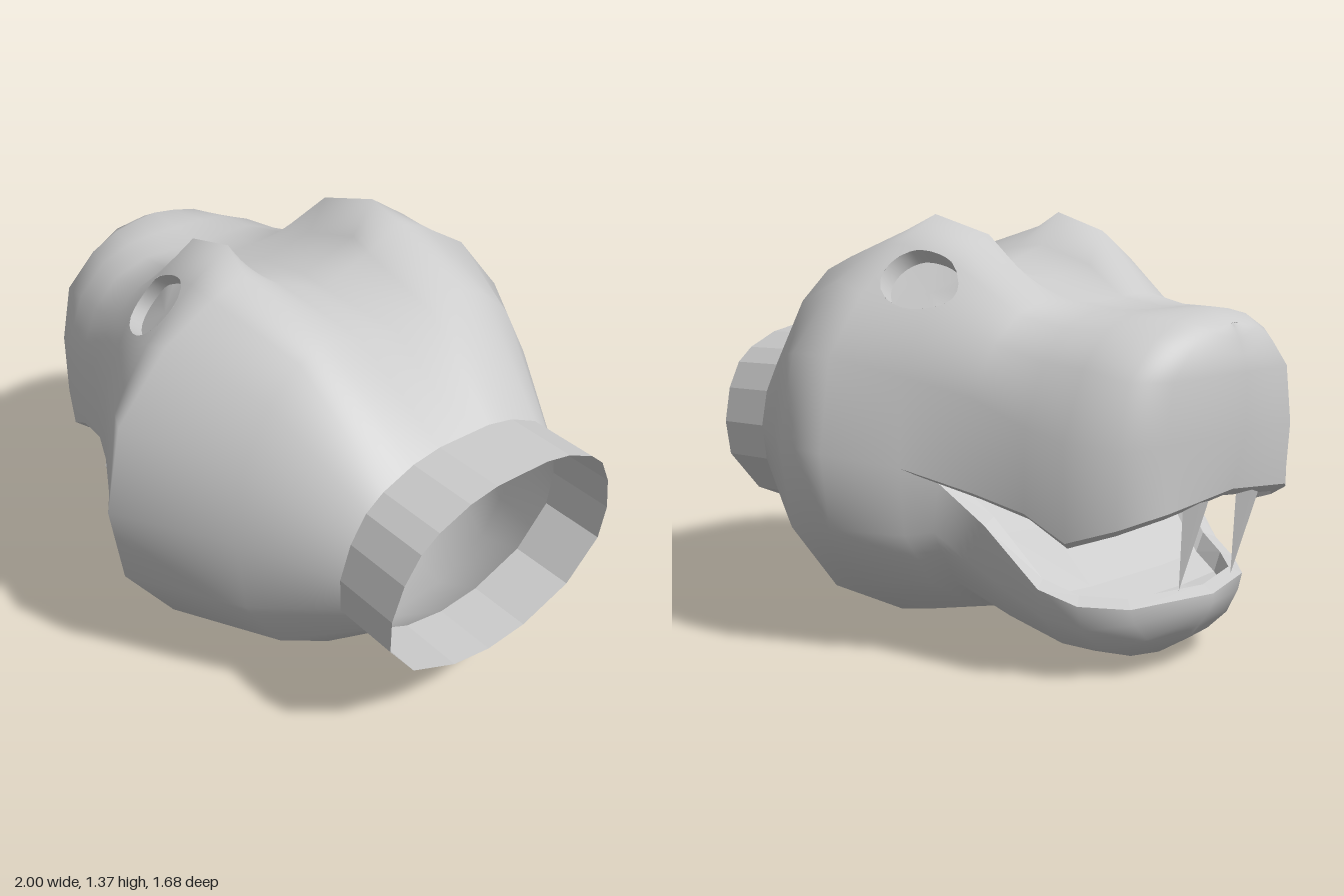
import * as THREE from 'three';
import { mergeVertices } from 'three/addons/utils/BufferGeometryUtils.js';

const STEP = 8; // subdivisions between neighbouring section points
const V = (x, y, z) => new THREE.Vector3(x, y, z);
const flip = p => V(p.x, p.y, -p.z);

// Half sections on the +z side: [x, y, z, y, z, ...]. Upper ones run from crown to mouth line.
const craniumTop = [
  [0.74, 0.95, 0, 0.95, 0.1, 0.93, 0.2, 0.88, 0.31, 0.83, 0.37, 0.74, 0.42, 0.62, 0.45],
  [0.45, 1.17, 0, 1.19, 0.14, 1.22, 0.27, 1.18, 0.37, 1.08, 0.48, 0.9, 0.58, 0.66, 0.61],
  [0.11, 1.18, 0, 1.25, 0.18, 1.32, 0.31, 1.27, 0.43, 1.17, 0.6, 0.96, 0.78, 0.68, 0.84],
  [0.0, 1.19, 0, 1.26, 0.21, 1.37, 0.29, 1.28, 0.43, 1.13, 0.6, 0.95, 0.73, 0.66, 0.77],
  [-0.22, 1.16, 0, 1.2, 0.2, 1.31, 0.27, 1.22, 0.41, 1.08, 0.54, 0.9, 0.63, 0.63, 0.65],
];
const snoutTop = [
  [-0.43, 1.1, 0, 1.11, 0.12, 1.12, 0.24, 1.08, 0.36, 1.0, 0.46, 0.85, 0.55, 0.57, 0.55],
  [-0.6, 1.08, 0, 1.09, 0.1, 1.09, 0.22, 1.05, 0.34, 0.96, 0.43, 0.78, 0.51, 0.53, 0.51],
  [-0.73, 1.1, 0, 1.1, 0.1, 1.09, 0.2, 1.05, 0.31, 0.95, 0.41, 0.75, 0.49, 0.46, 0.48],
  [-0.87, 1.11, 0, 1.1, 0.08, 1.08, 0.17, 1.03, 0.27, 0.92, 0.38, 0.73, 0.42, 0.51, 0.42],
  [-0.95, 1.07, 0, 1.06, 0.06, 1.05, 0.12, 1.0, 0.2, 0.92, 0.28, 0.74, 0.31, 0.55, 0.29],
];
// Lower sections run from mouth line to throat.
const throat = [
  [0.74, 0.62, 0.45, 0.5, 0.44, 0.36, 0.33, 0.28, 0.15, 0.26, 0],
  [0.45, 0.66, 0.61, 0.4, 0.58, 0.2, 0.45, 0.09, 0.25, 0.06, 0],
  [0.11, 0.68, 0.84, 0.42, 0.8, 0.2, 0.63, 0.06, 0.35, 0.0, 0],
  [0.0, 0.66, 0.77, 0.42, 0.74, 0.22, 0.58, 0.08, 0.33, 0.02, 0],
  [-0.22, 0.63, 0.65, 0.42, 0.63, 0.25, 0.52, 0.14, 0.31, 0.09, 0],
];
const jaw = [
  [-0.25, 0.57, 0.52, 0.42, 0.54, 0.25, 0.45, 0.14, 0.28, 0.1, 0],
  [-0.42, 0.46, 0.49, 0.3, 0.47, 0.16, 0.38, 0.08, 0.22, 0.05, 0],
  [-0.59, 0.29, 0.44, 0.2, 0.42, 0.1, 0.33, 0.04, 0.18, 0.02, 0],
  [-0.7, 0.25, 0.39, 0.17, 0.37, 0.09, 0.28, 0.04, 0.14, 0.02, 0],
  [-0.81, 0.24, 0.28, 0.19, 0.26, 0.13, 0.2, 0.1, 0.1, 0.09, 0],
];
// Centre lines [x, y] that close the nose and the chin
const noseLine = [[-0.94, 1.07], [-0.955, 1.05], [-0.97, 1.02], [-0.985, 0.98], [-1, 0.93], [-1, 0.75], [-0.96, 0.58]];
const chinLine = [[-0.9, 0.25], [-0.9, 0.22], [-0.88, 0.18], [-0.85, 0.14], [-0.82, 0.1]];

function halves(sections, endLine) {
  const out = sections.map(([x, ...yz]) => {
    const pts = [];
    for (let i = 0; i < yz.length; i += 2) {
      pts.push(V(x + (x > 0.7 ? 0.07 * (yz[i] - 0.61) : 0), yz[i], yz[i + 1]));
    }
    return pts;
  });
  out.push(endLine.map(([x, y]) => V(x, y, 0)));
  return out;
}

// Triangles of a grid with the given numbers of rows and columns
function gridIndex(rows, cols, offset = 0) {
  const index = [];
  for (let i = 0; i < rows - 1; i++) for (let j = 0; j < cols - 1; j++) {
    const a = offset + i * cols + j, b = a + cols;
    index.push(a, b, a + 1, b, b + 1, a + 1);
  }
  return index;
}

function shaded(points, index) {
  const g = new THREE.BufferGeometry().setFromPoints(points);
  g.setIndex(index);
  const merged = mergeVertices(g, 1e-4);
  merged.computeVertexNormals();
  return merged;
}

const strip = rows => shaded(rows.flat(), gridIndex(rows.length, rows[0].length));

// Vertex normals shared by several control grids, so their common edges shade smoothly
function sharedNormals(grids) {
  const key = p => [p.x, p.y, p.z].map(c => Math.round(c * 10000)).join();
  const points = [], index = [], found = new Map();
  for (const g of grids) {
    index.push(...gridIndex(g.length, g[0].length, points.length));
    points.push(...g.flat());
  }
  const { position, normal } = shaded(points, index).attributes;
  for (let i = 0; i < position.count; i++) {
    found.set(key(V().fromBufferAttribute(position, i)), V().fromBufferAttribute(normal, i));
  }
  return grids.map(g => g.map(row => row.map(p => found.get(key(p)))));
}

// Value of a control grid at row u and column v
function sample(grid, u, v) {
  const i = Math.min(Math.floor(u), grid.length - 2), j = Math.min(Math.floor(v), grid[0].length - 2);
  const across = r => grid[r][j].clone().lerp(grid[r][j + 1], v - j);
  return across(i).lerp(across(i + 1), u - i);
}

// Fine skin over a control grid; openings are (u, v) ellipses whose inner vertices slide to the rim
function skin(grid, normals, openings = []) {
  const nu = (grid.length - 1) * STEP, nv = (grid[0].length - 1) * STEP;
  const pts = [], nrm = [], inside = [], index = [];
  for (let i = 0; i <= nu; i++) for (let j = 0; j <= nv; j++) {
    let u = i / STEP, v = j / STEP, hit = false;
    for (const o of openings) {
      const du = (u - o.u) / o.ru, dv = (v - o.v) / o.rv, r = Math.hypot(du, dv);
      if (r < 1) {
        hit = true;
        u = o.u + du / (r || 1) * o.ru;
        v = o.v + dv / (r || 1) * o.rv;
      }
    }
    pts.push(sample(grid, u, v));
    nrm.push(...sample(normals, u, v).normalize().toArray());
    inside.push(hit);
  }
  const all = gridIndex(nu + 1, nv + 1);
  for (let t = 0; t < all.length; t += 3) {
    const tri = all.slice(t, t + 3);
    if (!tri.every(k => inside[k])) index.push(...tri);
  }
  const g = new THREE.BufferGeometry().setFromPoints(pts);
  g.setAttribute('normal', new THREE.Float32BufferAttribute(nrm, 3));
  g.setIndex(index);
  return g;
}

export function createModel() {
  const group = new THREE.Group();
  const smooth = new THREE.MeshStandardMaterial({ color: 0xcccccc, side: THREE.DoubleSide });
  const faceted = new THREE.MeshStandardMaterial({ color: 0xcccccc, side: THREE.DoubleSide, flatShading: true });
  const add = (name, geometry, material = smooth) => {
    const mesh = new THREE.Mesh(geometry, material);
    mesh.name = name;
    group.add(mesh);
    return mesh;
  };

  const upper = halves([...craniumTop, ...snoutTop], noseLine).map(h => [...h.slice(1).reverse().map(flip), ...h]);
  const lower = halves([...throat, ...jaw], chinLine).map(h => [...h, ...h.slice(0, -1).reverse().map(flip)]);
  const [upperNormals, lowerNormals] = sharedNormals([upper, lower]);

  // Head and snout with two eye openings, then throat and lower jaw
  const eyes = [1, -1].map(s => ({ u: 3.62, v: 6 + s * 3.45, ru: 0.58, rv: 0.55 }));
  add('upperHead', skin(upper, upperNormals, eyes));
  add('throatAndLowerJaw', skin(lower, lowerNormals));

  // Rim of each eye opening and the recessed eye behind it
  eyes.forEach((e, k) => {
    const side = k ? 'right' : 'left', rim = [];
    for (let i = 0; i <= 32; i++) {
      const a = i / 32 * Math.PI * 2;
      const p = sample(upper, e.u + e.ru * Math.cos(a), e.v + e.rv * Math.sin(a));
      rim.push([p, V(p.x, p.y - 0.04, p.z * 0.92)]);
    }
    const centre = rim.slice(1).reduce((c, r) => c.addScaledVector(r[1], 1 / 32), V(0, 0, 0));
    add(side + 'EyeRim', strip(rim));
    add(side + 'Eye', strip(rim.map(r => [r[1], centre])));
  });

  // Thickness of the upper lip
  const lip = [];
  for (let i = 4; i <= 10; i++) {
    const p = upper[i][12], x = -0.25 + (p.x + 0.25) * 0.95;
    lip.push([p, V(x, p.y - 0.025, p.z * 0.92), V(x, p.y + 0.07, p.z * 0.88)]);
  }
  add('upperLip', strip([...lip, ...lip.map(r => r.map(flip)).reverse()]), faceted);

  // Jaw rim and mouth floor
  const floor = lower.slice(5).map(([p]) => {
    const x = -0.25 + (p.x + 0.25) * 0.94;
    const half = [p, V(x, p.y + 0.02, p.z * 0.9), V(x, p.y - 0.04, p.z * 0.82), V(x, p.y - 0.05, p.z * 0.4)];
    return [...half, ...half.map(flip).reverse()];
  });
  add('mouthFloor', strip(floor), faceted);
  add('jawHinge', new THREE.BoxGeometry(0.04, 0.11, 0.96), faceted).position.set(-0.25, 0.565, 0);

  // Open, slightly tilted neck collar that continues the last head section
  const neck = [...upper[0], ...lower[0].slice(1)];
  add('neckCollar', strip([neck.map(p => V(p.x + 0.215 + 0.03 * (p.y - 0.26), p.y - 0.01, p.z)), neck]), faceted);

  // Two flat front fangs
  for (const s of [1, -1]) {
    const fang = add(s > 0 ? 'leftFang' : 'rightFang',
      new THREE.ConeGeometry(0.08, 0.36, 4).rotateX(Math.PI).scale(0.22, 1, 1), faceted);
    fang.position.set(-0.905, 0.455, s * 0.13);
    fang.rotation.z = 0.2;
  }
  return group;
}
